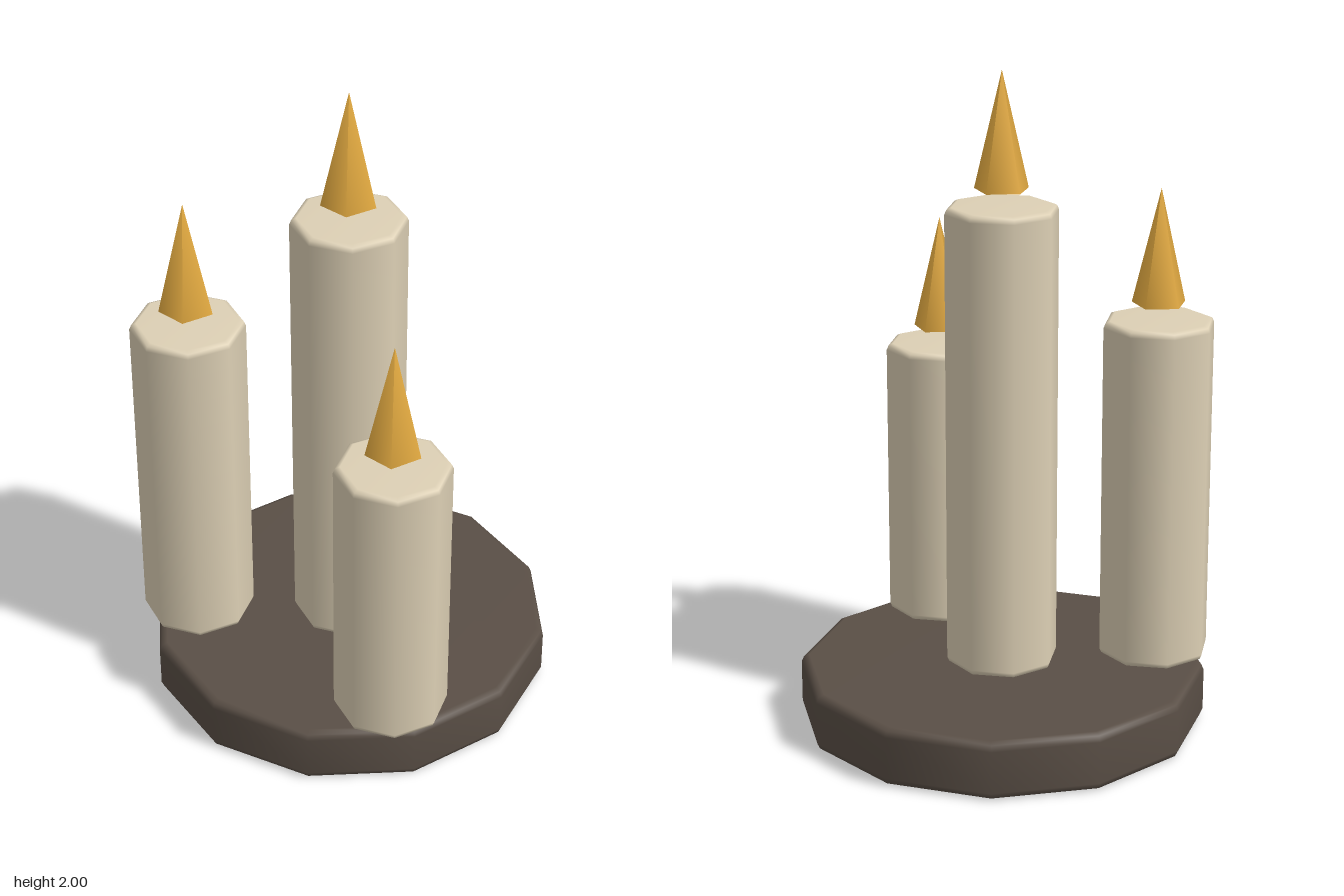
import * as THREE from 'three';

const wax = new THREE.MeshStandardMaterial({ name: 'cream wax', color: 0xddd0b5 });
const stone = new THREE.MeshStandardMaterial({ name: 'dark brown tray', color: 0x5a4f46 });
const fire = new THREE.MeshStandardMaterial({ name: 'amber flame', color: 0xe0a840 });

// Upright prism from y = 0 with softened rims; a corner points along +z
function softPrism(radius, height, sides, bevel) {
  const b = bevel, k = bevel * 0.3;
  const profile = [
    [0, 0], [radius - b, 0], [radius - k, k], [radius, b],
    [radius, height - b], [radius - k, height - k], [radius - b, height], [0, height],
  ].map(([r, y]) => new THREE.Vector2(r, y));
  return new THREE.LatheGeometry(profile, sides);
}

function addMesh(parent, name, geometry, material, y) {
  const mesh = new THREE.Mesh(geometry, material);
  mesh.name = name;
  mesh.position.y = y;
  parent.add(mesh);
}

export function createModel() {
  const model = new THREE.Group();
  model.name = 'candleTray';

  // Twelve-sided tray
  const trayTop = 0.18;
  addMesh(model, 'tray', softPrism(0.62, trayTop, 12, 0.025), stone, 0);

  // Candles of different heights, each with a flame floating above
  const candles = [
    ['middleCandle', 0, 0, 1.605],
    ['rightCandle', -0.357, 0.31, 1.245],
    ['leftCandle', 0.4, 0.263, 1.07],
  ];
  const flameHeight = 0.35;
  for (const [name, x, z, top] of candles) {
    const candle = new THREE.Group();
    candle.name = name;
    candle.position.set(x, 0, z);
    addMesh(candle, 'wax', softPrism(0.171, top - trayTop, 8, 0.02), wax, trayTop);
    const flame = new THREE.ConeGeometry(0.084, flameHeight, 5, 1, false, Math.PI);
    addMesh(candle, 'flame', flame, fire, top + 0.047 + flameHeight / 2);
    model.add(candle);
  }
  return model;
}
